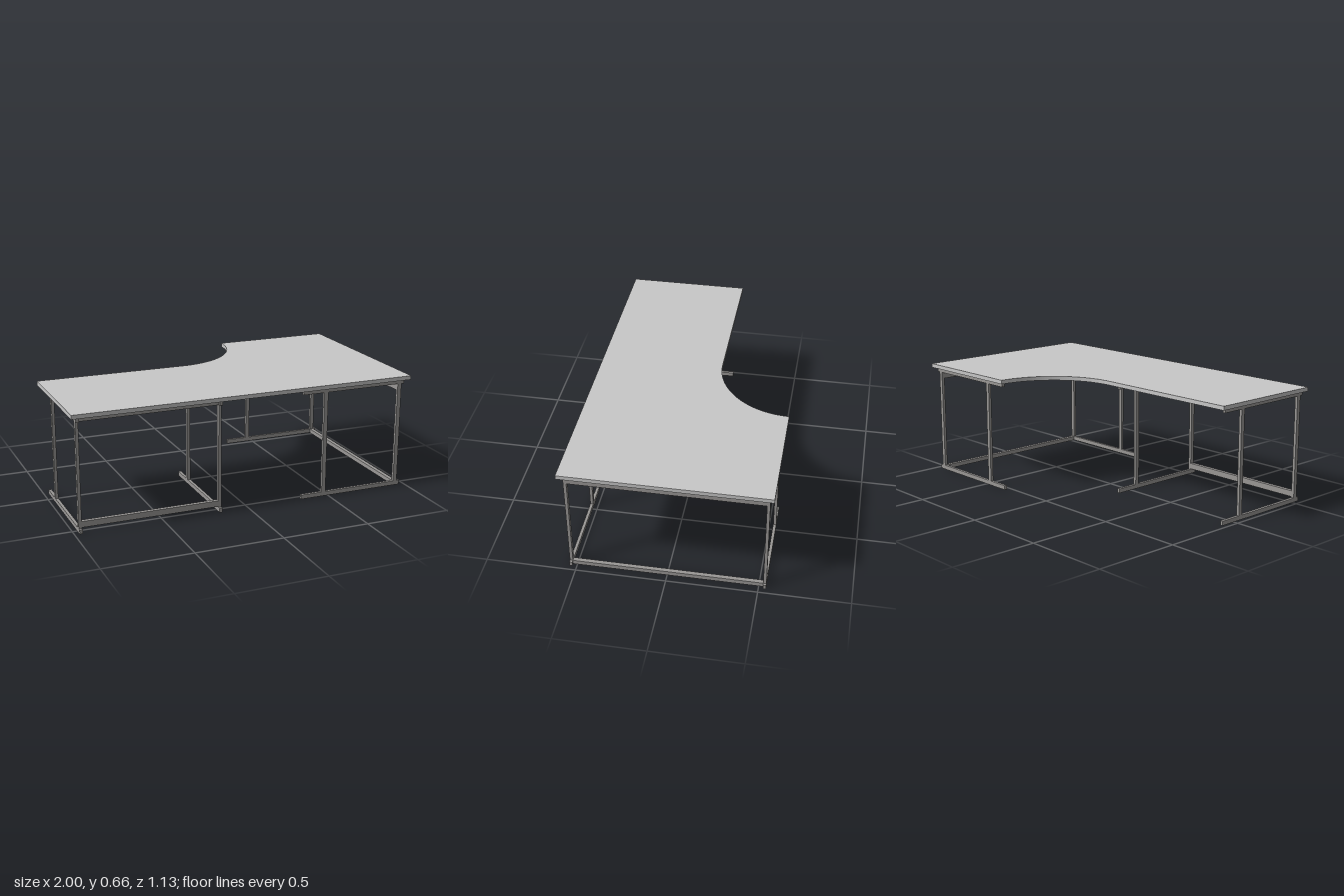
import * as THREE from 'three';

const topGrey = new THREE.MeshStandardMaterial({ name: 'topGrey', color: 0xc8c8c8 });
const frameGrey = new THREE.MeshStandardMaterial({ name: 'frameGrey', color: 0x9a9896 });

const HEIGHT = 0.64; // height of the leg frames
const BAR = 0.025;   // tube height
const THIN = 0.017;  // tube width

function box(parent, name, w, h, d, x, y, z) {
  const mesh = new THREE.Mesh(new THREE.BoxGeometry(w, h, d), frameGrey);
  mesh.name = name;
  mesh.position.set(x, y, z);
  parent.add(mesh);
}

// Two parallel leg frames joined by rails; feet run along local x, origin at mid height
function legUnit(name, width) {
  const unit = new THREE.Group();
  unit.name = name;
  const edge = (HEIGHT - BAR) / 2;
  for (const side of [-1, 1]) {
    const z = side * (width - THIN) / 2;
    box(unit, 'footBar', 0.64, BAR, THIN, 0, -edge, z);
    box(unit, 'topBar', 0.64, BAR, THIN, 0, edge, z);
    box(unit, 'outerLeg', 0.024, HEIGHT - 2 * BAR, THIN, 0.292, 0, z);
    box(unit, 'innerLeg', 0.024, HEIGHT - 2 * BAR, THIN, -0.178, 0, z);
  }
  const span = width - 2 * THIN;
  box(unit, 'tableRail', 0.024, BAR, span, 0.292, edge, 0);
  box(unit, 'deepRail', 0.024, 0.034, span, 0.292, -0.273, 0);
  return unit;
}

// L-shaped top with a concave inner corner, drawn in x and -z
function tableTop() {
  const s = new THREE.Shape();
  s.moveTo(-1, -0.565);
  s.lineTo(1, -0.565);
  s.lineTo(1, 0.565);
  s.lineTo(0.303, 0.565);
  s.absarc(-0.128, 0.565, 0.431, 0, -Math.PI / 2, true);
  s.lineTo(-1, 0.134);
  s.closePath();
  const geo = new THREE.ExtrudeGeometry(s, { depth: 0.023, bevelEnabled: false, curveSegments: 24 });
  geo.rotateX(-Math.PI / 2);
  const mesh = new THREE.Mesh(geo, topGrey);
  mesh.name = 'tableTop';
  mesh.position.y = HEIGHT;
  return mesh;
}

export function createModel() {
  const model = new THREE.Group();
  model.name = 'cornerDesk';
  model.add(tableTop());

  // Long wing: feet run front to back, deep rail near the floor
  const longWing = legUnit('longWingLegs', 0.815);
  longWing.rotation.y = -Math.PI / 2;
  longWing.position.set(-0.5655, HEIGHT / 2, 0.23);
  model.add(longWing);

  // Side wing: feet run sideways, turned over so the deep rail sits under the top
  const sideWing = legUnit('sideWingLegs', 1.082);
  sideWing.rotation.x = Math.PI;
  sideWing.position.set(0.65, HEIGHT / 2, 0);
  model.add(sideWing);
  return model;
}
